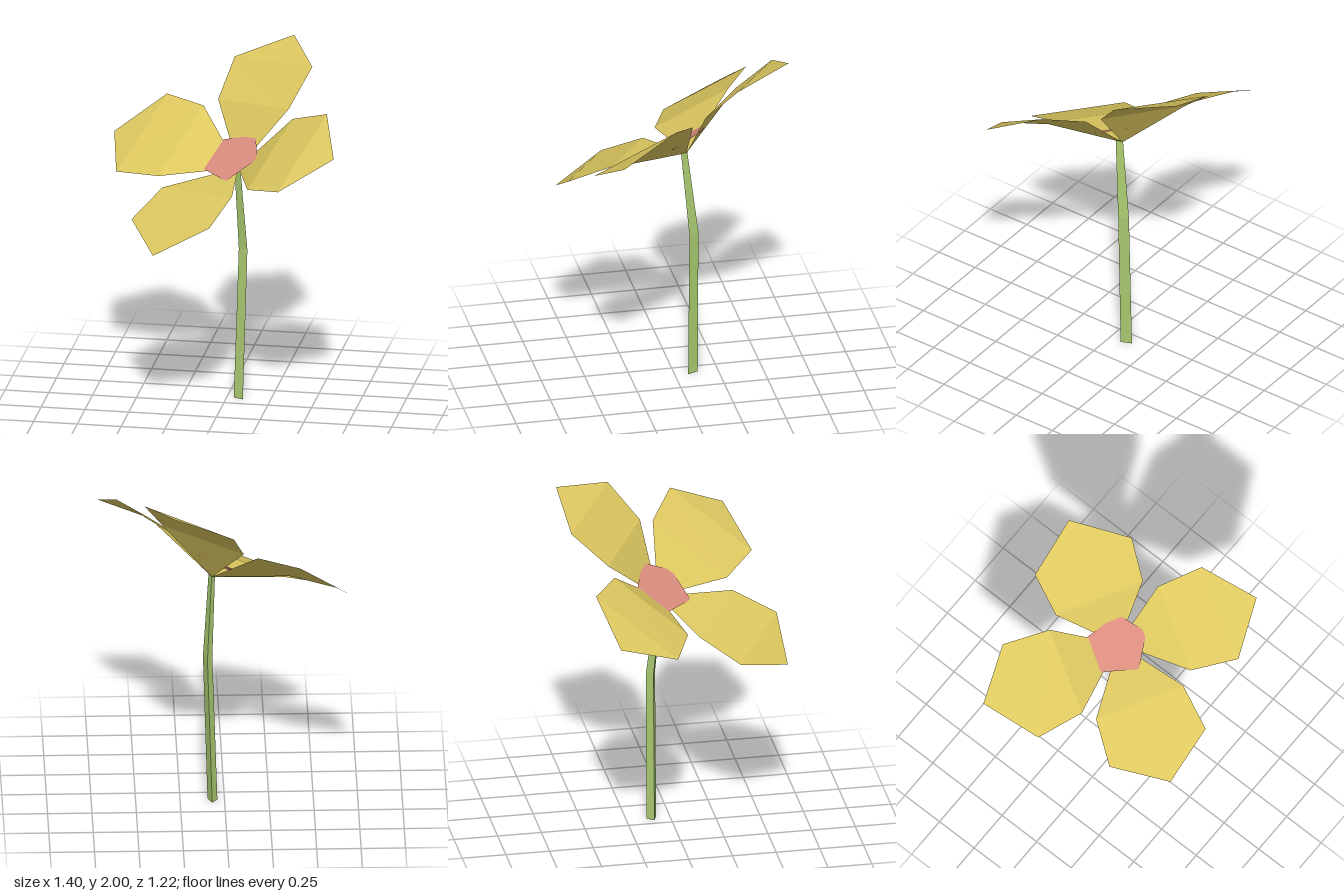
import * as THREE from 'three';

const flat = (name, color) => {
  const m = new THREE.MeshStandardMaterial({ color, flatShading: true, side: THREE.DoubleSide });
  m.name = name;
  return m;
};

// Build a faceted mesh from corner points and triangle indices
function facets(name, points, triangles, material) {
  let geometry = new THREE.BufferGeometry();
  geometry.setAttribute('position', new THREE.Float32BufferAttribute(points.flat(), 3));
  geometry.setIndex(triangles);
  geometry = geometry.toNonIndexed();
  geometry.computeVertexNormals();
  const mesh = new THREE.Mesh(geometry, material);
  mesh.name = name;
  return mesh;
}

export function createModel() {
  const flower = new THREE.Group();
  flower.name = 'flower';
  const yellow = flat('petal yellow', 0xdcc75f);
  const pink = flat('centre pink', 0xd98c7e);
  const green = flat('stem green', 0xa9ca70);

  // Petals: each fans from the stem top, with two cross folds before the tip
  const root = [0.07, 1.38, -0.07];
  const petals = {
    leftPetal: [[0.195, 1.4, 0.35], [0.4, 1.46, 0.53], [0.7, 1.635, 0.42], [0.605, 1.79, 0.1], [0.385, 1.7, -0.04]],
    backPetal: [[0.35, 1.73, -0.12], [0.455, 1.93, -0.285], [0.295, 2, -0.61], [-0.04, 1.86, -0.585], [-0.1, 1.67, -0.385]],
    rightPetal: [[-0.18, 1.635, -0.365], [-0.415, 1.64, -0.515], [-0.7, 1.43, -0.425], [-0.63, 1.31, -0.085], [-0.37, 1.335, 0.02]],
    frontPetal: [[-0.335, 1.295, 0.095], [-0.475, 1.17, 0.305], [-0.3, 1.065, 0.605], [0.02, 1.245, 0.6], [0.11, 1.36, 0.365]],
  };
  for (const [name, rim] of Object.entries(petals)) {
    flower.add(facets(name, [root, ...rim], [0, 1, 5, 1, 2, 4, 1, 4, 5, 2, 3, 4], yellow));
  }

  // Flower centre: a tilted pentagon
  const centre = [[-0.04, 1.495, -0.205], [-0.125, 1.37, -0.045], [0.03, 1.36, 0.11], [0.197, 1.475, 0.03], [0.155, 1.555, -0.145]];
  flower.add(facets('flowerCentre', centre, [0, 1, 2, 0, 2, 3, 0, 3, 4], pink));

  // Stem: three-sided section lofted through a bend, tapering to the top
  const section = [[-0.028, 0.01], [0.027, 0.03], [0.002, -0.03]];
  const rings = [[0.068, 0, -0.105, 1], [0.095, 0.89, -0.105, 0.95], [0.07, 1.39, -0.055, 0.65]];
  const points = [];
  for (const [x, y, z, s] of rings) {
    for (const [dx, dz] of section) points.push([x + dx * s, y, z + dz * s]);
  }
  const triangles = [0, 2, 1, 6, 7, 8];
  for (let r = 0; r < 2; r++) {
    for (let i = 0; i < 3; i++) {
      const a = r * 3 + i, b = r * 3 + (i + 1) % 3;
      triangles.push(a, b, b + 3, a, b + 3, a + 3);
    }
  }
  flower.add(facets('stem', points, triangles, green));
  return flower;
}
